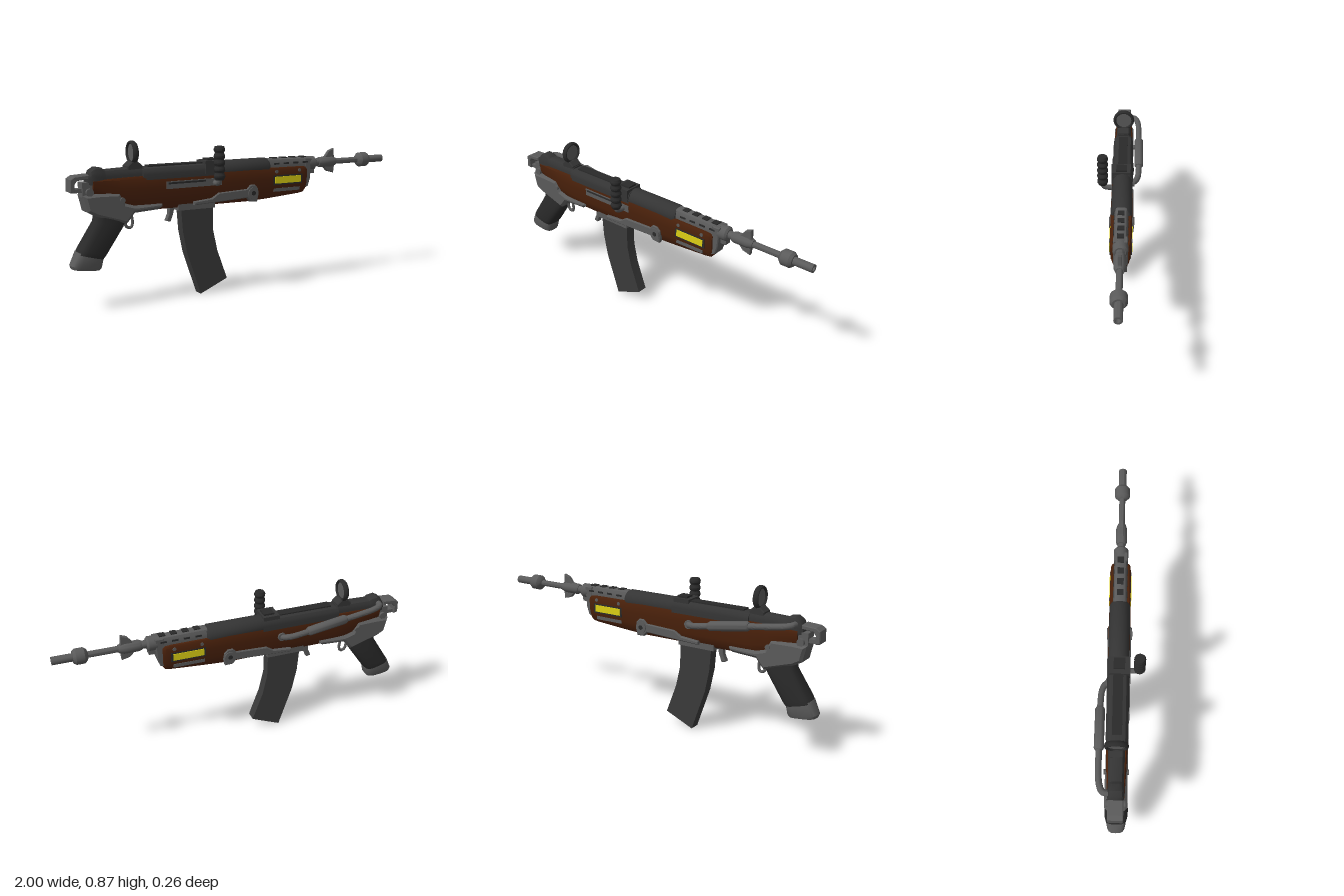
import * as THREE from 'three';
import { toCreasedNormals } from 'three/addons/utils/BufferGeometryUtils.js';

const mat = (name, color) => new THREE.MeshStandardMaterial({ name, color });

export function createModel() {
  const steel = mat('steel grey', 0x5a5a5a);
  const dark = mat('dark metal', 0x343434);
  const black = mat('black polymer', 0x2a2a2a);
  const magGrey = mat('magazine grey', 0x3a3a3a);
  const wood = mat('brown wood', 0x4a210b);
  const yellow = mat('yellow panel', 0xdccf14);

  const model = new THREE.Group();
  model.name = 'rifle';
  model.position.z = -0.012;
  const root = new THREE.Group();
  root.add(model);

  const add = (name, geo, material, crease = 0.6) => {
    const mesh = new THREE.Mesh(crease ? toCreasedNormals(geo, crease) : geo, material);
    mesh.name = name;
    model.add(mesh);
    return mesh;
  };
  const box = (name, m, x0, x1, y0, y1, z0, z1) => {
    const g = new THREE.BoxGeometry(x1 - x0, y1 - y0, z1 - z0);
    g.translate((x0 + x1) / 2, (y0 + y1) / 2, (z0 + z1) / 2);
    return add(name, g, m, 0);
  };
  // Side outline extruded between two depths
  const plate = (name, m, pts, z0, z1, bevel = 0.005) => {
    const shape = new THREE.Shape(pts.map(p => new THREE.Vector2(...p)));
    const g = new THREE.ExtrudeGeometry(shape, {
      depth: z1 - z0 - 2 * bevel, bevelEnabled: bevel > 0, bevelSize: bevel,
      bevelThickness: bevel, bevelOffset: -bevel, bevelSegments: 1,
    });
    g.translate(0, 0, z0 + bevel);
    return add(name, g, m, 0.3);
  };
  // Turned part along x from [x, radius] pairs
  const turned = (name, m, pts, y, z = 0, sides = 24) => {
    const g = new THREE.LatheGeometry(pts.map(([x, r]) => new THREE.Vector2(r, x)), sides);
    g.rotateZ(-Math.PI / 2);
    g.translate(0, y, z);
    return add(name, g, m);
  };
  // Skin over equal-length rings, capped at both ends
  const loft = (name, m, rings, crease = 0.6) => {
    const n = rings[0].length, pos = rings.flat(2), idx = [];
    for (let i = 0; i < rings.length - 1; i++)
      for (let j = 0; j < n; j++) {
        const k = (j + 1) % n, a = i * n + j, b = i * n + k;
        idx.push(a, b, b + n, a, b + n, a + n);
      }
    const e = (rings.length - 1) * n;
    for (let j = 1; j < n - 1; j++) idx.push(0, j + 1, j, e, e + j, e + j + 1);
    const g = new THREE.BufferGeometry();
    g.setAttribute('position', new THREE.Float32BufferAttribute(pos, 3));
    g.setIndex(idx);
    return add(name, g, m, crease);
  };
  // Ring in the yz plane from a half section of [width, height] fractions, top first
  const section = (half, [x, bottom, top, w]) =>
    [...half, ...half.map(([a, b]) => [-a, b]).reverse()]
      .map(([a, b]) => [x, bottom + b * (top - bottom), a * w]);
  const body = (name, m, half, stations) => loft(name, m, stations.map(s => section(half, s)));
  const stockHalf = [[0.88, 1], [1, 0.93], [1, 0.65], [0.92, 0.32], [0.75, 0.1], [0.45, 0]];
  const roundTop = [[0.45, 1], [0.75, 0.92], [0.94, 0.7], [1, 0.45], [1, 0]];

  // Wooden stock
  body('stock', wood, stockHalf, [
    [-0.88, 0.6, 0.675, 0.044], [-0.72, 0.52, 0.68, 0.052], [-0.6, 0.497, 0.682, 0.056],
    [0.05, 0.495, 0.682, 0.058], [0.17, 0.502, 0.677, 0.057], [0.37, 0.517, 0.675, 0.056],
    [0.405, 0.522, 0.672, 0.053], [0.42, 0.54, 0.66, 0.046]]);

  // Upper receiver
  body('receiver', dark, roundTop, [
    [-0.61, 0.66, 0.72, 0.054], [-0.58, 0.66, 0.724, 0.058], [-0.15, 0.66, 0.726, 0.058]]);
  body('rearReceiver', dark, roundTop, [[-0.85, 0.66, 0.722, 0.04], [-0.6, 0.66, 0.73, 0.044]]);
  body('receiverTail', dark, roundTop, [
    [-0.905, 0.655, 0.69, 0.03], [-0.885, 0.65, 0.725, 0.042],
    [-0.86, 0.65, 0.74, 0.044], [-0.825, 0.65, 0.735, 0.042], [-0.8, 0.66, 0.715, 0.04]]);
  box('receiverTopRail', black, -0.57, -0.24, 0.715, 0.732, -0.026, 0.026);
  box('boltBlock', dark, -0.25, -0.155, 0.67, 0.74, -0.046, 0.062);
  box('boltCap', black, -0.225, -0.165, 0.735, 0.75, -0.025, 0.035);
  turned('forwardTube', dark, [[-0.17, 0], [-0.17, 0.05], [-0.15, 0.056], [0.155, 0.056],
    [0.17, 0.048], [0.17, 0]], 0.678);
  box('ejectionSlot', steel, -0.48, -0.15, 0.605, 0.645, 0.04, 0.061);
  box('slotRecess', black, -0.47, -0.25, 0.63, 0.64, 0.06, 0.063);

  // Vented barrel shroud
  body('barrelShroud', steel, roundTop, [[0.165, 0.65, 0.728, 0.038], [0.45, 0.65, 0.722, 0.036]]);
  for (let i = 0; i < 4; i++) {
    const x = 0.2 + i * 0.065;
    box('shroudVent', black, x, x + 0.035, 0.715, 0.731 - i * 0.001, -0.018, 0.018);
    for (const s of [-1, 1])
      box('sideVent', black, x, x + 0.035, 0.692, 0.702, s * 0.037 - 0.002, s * 0.037 + 0.002);
  }
  plate('stockEndCap', steel, [[0.41, 0.545], [0.435, 0.555], [0.45, 0.6], [0.455, 0.66],
    [0.46, 0.72], [0.41, 0.72]], -0.038, 0.038);

  // Barrel, muzzle and front sight
  turned('gasCollar', steel, [[0.445, 0], [0.445, 0.04], [0.49, 0.04], [0.5, 0.03], [0.5, 0]], 0.685);
  box('gasLug', steel, 0.455, 0.49, 0.625, 0.67, -0.018, 0.018);
  turned('barrel', steel, [[0.44, 0], [0.44, 0.022], [0.56, 0.022], [0.56, 0.017], [0.81, 0.017],
    [0.815, 0.03], [0.83, 0.043], [0.875, 0.043], [0.89, 0.032], [0.89, 0.022], [1, 0.022],
    [1, 0.012], [0.95, 0.012], [0.95, 0]], 0.685);
  turned('sightCollar', steel, [[0.525, 0], [0.525, 0.026], [0.54, 0.031], [0.62, 0.031],
    [0.65, 0.022], [0.65, 0]], 0.685);
  plate('frontSight', steel, [[0.525, 0.665], [0.525, 0.71], [0.575, 0.718], [0.6, 0.75],
    [0.635, 0.763], [0.638, 0.715], [0.65, 0.69], [0.638, 0.65], [0.635, 0.618],
    [0.59, 0.63], [0.565, 0.655]], -0.011, 0.011, 0.003);

  // Panels on both sides of the fore-end, pivot plates
  for (const s of [-1, 1]) {
    const sideBox = (name, m, x0, x1, y0, y1, z0, z1) =>
      box(name, m, x0, x1, y0, y1, Math.min(s * z0, s * z1), Math.max(s * z0, s * z1));
    sideBox('panelFrame', black, 0.185, 0.38, 0.578, 0.634, 0.045, 0.0575);
    sideBox('yellowPanel', yellow, 0.195, 0.368, 0.587, 0.626, 0.055, 0.061);
    sideBox('lowerStrip', steel, 0.19, 0.365, 0.54, 0.559, 0.035, 0.0535);
    const disc = (name, m, x, y, r, z, h) => {
      const g = new THREE.CylinderGeometry(r, r, h, 20);
      g.rotateX(Math.PI / 2);
      g.translate(x, y, s * z);
      add(name, g, m);
    };
    for (const x of [0.205, 0.36]) disc('screw', steel, x, 0.655, 0.01, 0.055, 0.01);
    const z = s > 0 ? [0.035, 0.064] : [-0.064, -0.035];
    plate('pivotPlate', steel, [[-0.32, 0.505], [0.01, 0.52], [0.03, 0.497], [0.075, 0.495],
      [0.083, 0.53], [0.08, 0.57], [0.06, 0.592], [0.03, 0.592], [0.01, 0.57],
      [-0.17, 0.562], [-0.21, 0.535], [-0.32, 0.525]], ...z);
    disc('pivotPin', steel, 0.047, 0.545, 0.032, 0.062, 0.014);
    disc('pivotPinCentre', black, 0.047, 0.545, 0.013, 0.068, 0.005);
    disc('housingPin', steel, -0.73, 0.565, 0.014, 0.06, 0.012);
    disc('tailPin', steel, -0.9, 0.615, 0.02, 0.04, 0.02);
  }

  // Magazine and its well
  box('magazineWell', steel, -0.405, -0.185, 0.48, 0.52, -0.042, 0.042);
  plate('magazine', magGrey, [[-0.385, 0.49], [-0.375, 0.36], [-0.35, 0.235], [-0.27, 0],
    [-0.105, 0.07], [-0.165, 0.235], [-0.19, 0.35], [-0.192, 0.49]], -0.03, 0.03, 0);
  plate('magazineCatch', steel, [[-0.445, 0.52], [-0.41, 0.52], [-0.425, 0.46], [-0.44, 0.42],
    [-0.465, 0.425], [-0.45, 0.46]], -0.016, 0.016, 0.003);

  // Rear housing and trigger
  plate('gripHousing', steel, [[-0.935, 0.6], [-0.86, 0.605], [-0.74, 0.602], [-0.71, 0.545],
    [-0.66, 0.53], [-0.5, 0.53], [-0.5, 0.515], [-0.52, 0.5], [-0.66, 0.492], [-0.685, 0.46],
    [-0.705, 0.438], [-0.87, 0.49], [-0.915, 0.515], [-0.925, 0.56]], -0.059, 0.059, 0.014);
  box('housingTail', steel, -0.935, -0.87, 0.59, 0.665, -0.034, 0.034);
  const guard = new THREE.CatmullRomCurve3([[-0.7, 0.45], [-0.69, 0.415], [-0.665, 0.407],
    [-0.655, 0.43], [-0.665, 0.5]].map(([x, y]) => new THREE.Vector3(x, y, 0)));
  add('triggerGuard', new THREE.TubeGeometry(guard, 16, 0.008, 8), steel);
  plate('tailLoop', steel, [[-0.9, 0.705], [-0.975, 0.7], [-0.998, 0.685], [-1, 0.62], [-0.975, 0.615],
    [-0.975, 0.66], [-0.962, 0.678], [-0.9, 0.683]], -0.04, 0.04, 0.004);
  box('tailLoopFoot', steel, -0.99, -0.92, 0.615, 0.635, -0.025, 0.025);

  // Pistol grip: rings given by back point, front point and half width
  const gripRing = ([bx, by, fx, fy, w]) => Array.from({ length: 20 }, (_, i) => {
    const a = i / 20 * Math.PI * 2, c = Math.cos(a), s = Math.sin(a);
    const u = Math.sign(c) * Math.abs(c) ** 0.6, v = Math.sign(s) * Math.abs(s) ** 0.6;
    return [(bx + fx) / 2 + u * (fx - bx) / 2, (by + fy) / 2 + u * (fy - by) / 2, v * w];
  });
  loft('grip', black, [[-0.86, 0.52, -0.7, 0.45, 0.05], [-0.87, 0.46, -0.715, 0.42, 0.053],
    [-0.955, 0.325, -0.815, 0.28, 0.064], [-0.968, 0.3, -0.83, 0.262, 0.06]].map(gripRing));
  loft('gripFoot', steel, [[-0.968, 0.31, -0.825, 0.272, 0.056], [-0.978, 0.288, -0.832, 0.25, 0.056],
    [-1, 0.24, -0.838, 0.218, 0.052], [-0.995, 0.222, -0.848, 0.205, 0.046]].map(gripRing));

  // Rear ring sight
  const sightRing = new THREE.TorusGeometry(0.053, 0.009, 10, 32);
  sightRing.scale(1, 1, 1.7);
  sightRing.rotateY(Math.PI / 2);
  sightRing.translate(-0.648, 0.803, 0);
  add('sightRing', sightRing, black);
  turned('sightLens', steel, [[-0.653, 0], [-0.653, 0.05], [-0.643, 0.05], [-0.643, 0]], 0.803, 0, 32);
  plate('sightMount', dark, [[-0.69, 0.7], [-0.69, 0.735], [-0.665, 0.757], [-0.63, 0.757],
    [-0.605, 0.735], [-0.605, 0.7]], -0.035, 0.035);

  // Cocking handle with ribbed grip
  const elbow = new THREE.CatmullRomCurve3([[0.62, 0.04], [0.62, 0.085], [0.627, 0.105],
    [0.65, 0.112]].map(([y, z]) => new THREE.Vector3(-0.193, y, z)));
  add('handleStem', new THREE.TubeGeometry(elbow, 16, 0.015, 12), steel);
  const ribs = [[0, 0.64], [0.022, 0.64]];
  for (let i = 0; i < 5; i++) {
    const y = 0.645 + i * 0.036;
    ribs.push([0.025, y], [0.031, y + 0.012], [0.031, y + 0.02], [0.025, y + 0.034]);
  }
  ribs.push([0.025, 0.823], [0, 0.823]);
  const handle = new THREE.LatheGeometry(ribs.map(p => new THREE.Vector2(...p)), 20);
  handle.translate(-0.193, 0, 0.112);
  add('handleGrip', handle, black, 0.3);

  // Gas pipe on the far side
  const pipe = new THREE.CatmullRomCurve3([[-0.865, 0.7, -0.03], [-0.86, 0.7, -0.065], [-0.82, 0.693, -0.084],
    [-0.64, 0.668, -0.092], [-0.4, 0.63, -0.092], [-0.3, 0.614, -0.084], [-0.265, 0.61, -0.065],
    [-0.26, 0.61, -0.03]].map(p => new THREE.Vector3(...p)));
  add('gasPipe', new THREE.TubeGeometry(pipe, 60, 0.017, 12), steel);
  const sleeve = turned('pipeSleeve', steel, [[-0.12, 0], [-0.12, 0.02], [-0.11, 0.026], [0.11, 0.026],
    [0.12, 0.02], [0.12, 0]], 0);
  sleeve.position.set(-0.52, 0.65, -0.092);
  sleeve.rotation.z = -0.157;
  const flange = new THREE.CylinderGeometry(0.024, 0.024, 0.014, 16);
  flange.rotateX(Math.PI / 2);
  flange.translate(-0.26, 0.61, -0.06);
  add('pipeFlange', flange, steel);

  return root;
}
